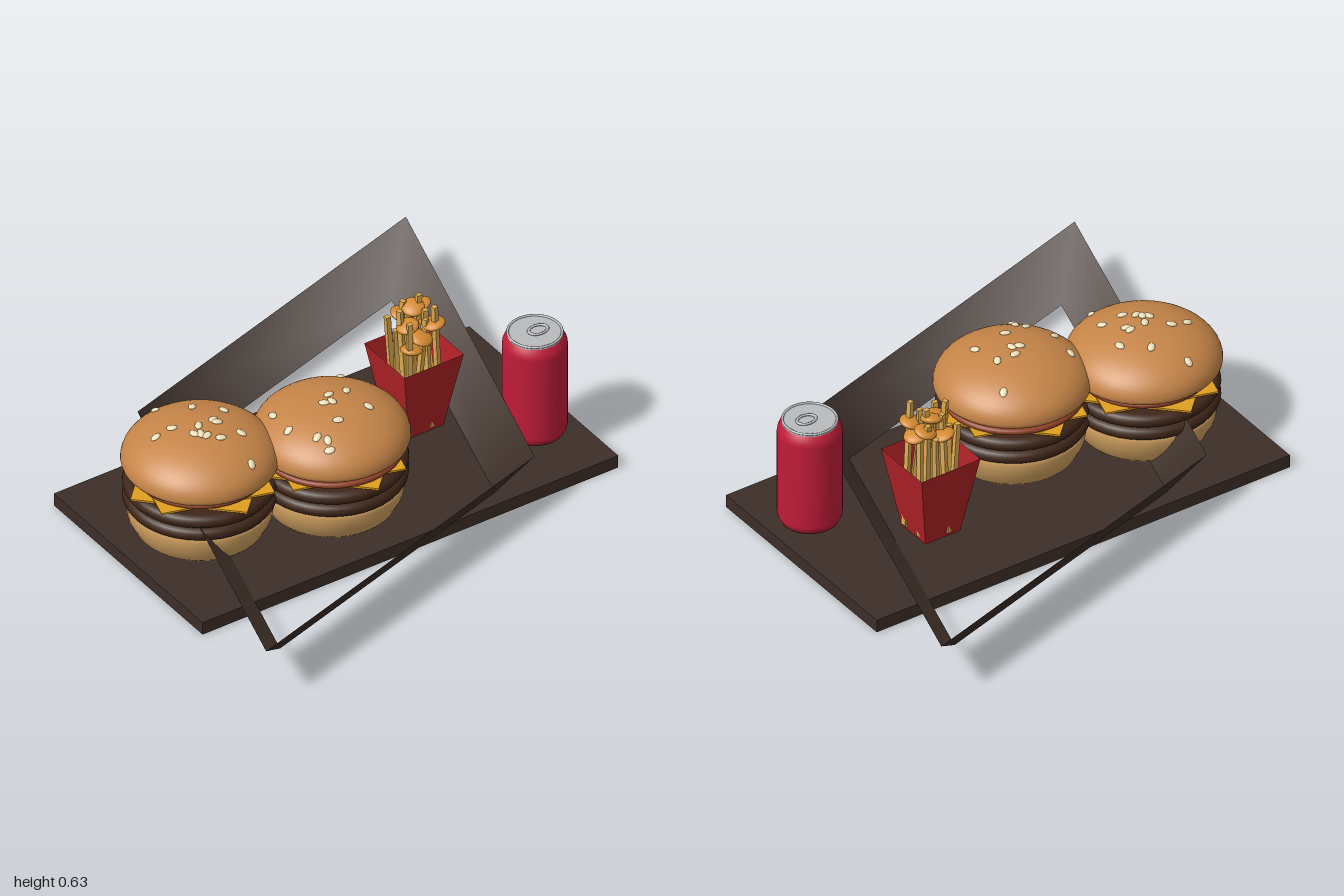
import * as THREE from 'three';

const mat = (color, extra = {}) => {
  const m = new THREE.MeshStandardMaterial({ color });
  return Object.assign(m, extra);
};
const DOUBLE = { side: THREE.DoubleSide };
const M = {
  tray: mat(0x3d2e27, DOUBLE), bun: mat(0xc68548), lowerBun: mat(0xd0a060), seed: mat(0xeedfb8),
  patty: mat(0x3f2618), cheese: mat(0xe0a020), tomato: mat(0x8f4028), pickle: mat(0x71804a),
  box: mat(0xb02226, { ...DOUBLE, flatShading: true }), fry: mat(0xdcaa50), crisp: mat(0xd48a30),
  can: mat(0xc01c38), metal: mat(0xb8babd),
};

function add(parent, name, geometry, material, x = 0, y = 0, z = 0) {
  const mesh = new THREE.Mesh(geometry, material);
  mesh.name = name;
  mesh.position.set(x, y, z);
  parent.add(mesh);
  return mesh;
}

function group(parent, name, x = 0, z = 0) {
  const g = new THREE.Group();
  g.name = name;
  g.position.set(x, 0, z);
  parent.add(g);
  return g;
}

const lathe = (pts, seg = 40) => new THREE.LatheGeometry(pts.map(([r, y]) => new THREE.Vector2(r, y)), seg);

// Disc with rounded rim, used for patties and fillings
function roundedDisc(r, h) {
  const pts = [[0, -h / 2]];
  for (let i = 0; i <= 8; i++) {
    const a = -Math.PI / 2 + (i / 8) * Math.PI;
    pts.push([r - h / 2 + Math.cos(a) * h / 2, Math.sin(a) * h / 2]);
  }
  pts.push([0, h / 2]);
  return lathe(pts);
}

const BUN = { r: 0.302, y: 0.375, h: 0.15 };

function burger(parent, name, x, z, seeds, withPickles) {
  const g = group(parent, name, x, z);
  add(g, 'lowerBun', lathe([[0, 0.055], [0.235, 0.055], [0.25, 0.07], [0.275, 0.12], [0.283, 0.17], [0.275, 0.19], [0, 0.19]]), M.lowerBun);
  add(g, 'lowerPatty', roundedDisc(0.295, 0.055), M.patty, 0, 0.21, 0);
  add(g, 'upperPatty', roundedDisc(0.295, 0.055), M.patty, 0, 0.268, 0);

  // Two turned cheese slices whose corners poke out
  [Math.PI / 4, Math.PI / 4 + 0.5].forEach((turn, i) => {
    const slice = add(g, 'cheeseSlice', new THREE.BoxGeometry(0.45, 0.008, 0.45), M.cheese, 0, 0.301 + i * 0.009, 0);
    slice.rotation.y = turn;
  });
  add(g, 'tomato', roundedDisc(withPickles ? 0.26 : 0.28, 0.024), M.tomato, 0, 0.324, 0);
  if (withPickles) {
    for (let i = 0; i < 5; i++) {
      const a = (i / 5) * Math.PI * 2 + 0.3;
      add(g, 'pickle', new THREE.CylinderGeometry(0.1, 0.1, 0.02, 20), M.pickle, Math.cos(a) * 0.14, 0.344, Math.sin(a) * 0.14);
    }
  } else {
    add(g, 'lettuce', roundedDisc(0.25, 0.02), M.pickle, 0, 0.343, 0);
  }

  // Domed bun with a tucked lower lip
  const dome = [[0, 0.35], [0.275, 0.35], [0.293, 0.356], [0.3, 0.365]];
  for (let i = 0; i <= 14; i++) {
    const a = (i / 14) * Math.PI / 2;
    dome.push([BUN.r * Math.cos(a), BUN.y + BUN.h * Math.sin(a)]);
  }
  add(g, 'upperBun', lathe(dome, 48), M.bun);

  // Sesame seeds lie along the dome surface
  const seedGeo = new THREE.SphereGeometry(1, 10, 8).scale(0.015, 0.008, 0.022);
  seeds.forEach(([sx, sz], i) => {
    const dx = sx - x, dz = sz - z;
    const up = BUN.h * Math.sqrt(1 - (dx * dx + dz * dz) / BUN.r ** 2);
    const seed = add(g, 'sesameSeed', seedGeo, M.seed, dx, BUN.y + up + 0.002, dz);
    const normal = new THREE.Vector3(dx / BUN.r ** 2, up / BUN.h ** 2, dz / BUN.r ** 2).normalize();
    seed.quaternion.setFromUnitVectors(new THREE.Vector3(0, 1, 0), normal);
    seed.rotateY(i * 2.4);
  });
}

function fries(parent) {
  const g = group(parent, 'fries', 0.435, -0.115);
  const shell = new THREE.CylinderGeometry(0.135 * Math.SQRT2, 0.08 * Math.SQRT2, 0.34, 4, 1, true).rotateY(Math.PI / 4);
  add(g, 'friesBox', shell, M.box, 0, 0.225, 0);
  add(g, 'friesBoxBase', new THREE.BoxGeometry(0.16, 0.006, 0.16), M.box, 0, 0.058, 0);

  // Sticks on a loose grid with varied lengths and leans
  for (let i = 0; i < 16; i++) {
    const top = 0.5 + 0.125 * ((i * 7 + 5) % 16) / 15;
    const x = ((i % 4) - 1.5) * 0.042, z = (Math.floor(i / 4) - 1.5) * 0.042;
    const fry = add(g, 'fry', new THREE.BoxGeometry(0.02, top - 0.07, 0.02), M.fry, x, (top + 0.07) / 2, z);
    fry.rotation.set(0.07 * Math.sin(i * 2.1), 0.4 * Math.sin(i), 0.07 * Math.cos(i * 1.7));
  }
  // Flat crisp pieces among the sticks
  const crispGeo = new THREE.SphereGeometry(1, 18, 10).scale(0.045, 0.018, 0.045);
  [[-0.05, 0.54, 0.03], [-0.01, 0.52, -0.07], [0.06, 0.55, -0.05], [0.065, 0.5, 0.01],
    [0.01, 0.575, -0.02], [-0.045, 0.44, 0.05], [0.05, 0.53, 0.06], [-0.01, 0.49, 0.065]].forEach((p, i) => {
    const crisp = add(g, 'crisp', crispGeo, M.crisp, ...p);
    crisp.rotation.set(0.25 * Math.sin(i * 2), 0, 0.25 * Math.cos(i * 3));
  });
}

function drinkCan(parent) {
  const g = group(parent, 'drinkCan', 0.78, 0.19);
  add(g, 'canBody', lathe([[0, 0.056], [0.098, 0.056], [0.112, 0.066], [0.122, 0.085], [0.125, 0.1], [0.125, 0.25],
    [0.125, 0.465], [0.123, 0.48], [0.116, 0.497], [0.107, 0.51]]), M.can);
  add(g, 'canLid', new THREE.CylinderGeometry(0.104, 0.107, 0.012, 40), M.metal, 0, 0.512, 0);
  add(g, 'canRim', new THREE.TorusGeometry(0.104, 0.005, 8, 40).rotateX(Math.PI / 2), M.metal, 0, 0.519, 0);
  add(g, 'pullTab', new THREE.TorusGeometry(0.028, 0.005, 8, 24).scale(1.4, 1, 1).rotateX(Math.PI / 2), M.metal, 0.015, 0.522, 0);
}

export function createModel() {
  const model = new THREE.Group();
  model.name = 'mealTray';

  // Flat tray and its skewed, flared four-sided rim
  add(model, 'trayBase', new THREE.BoxGeometry(1.9, 0.055, 1), M.tray, 0, 0.0275, 0);
  const rim = new THREE.CylinderGeometry(Math.SQRT2, 0.8 * Math.SQRT2, 0.19, 4, 1, true);
  rim.scale(0.54, 1, 1).rotateY(-Math.PI / 4);
  add(model, 'trayRim', rim, M.tray, 0, 0.15, 0);

  burger(model, 'backBurger', -0.605, -0.025, [[-0.65, -0.26], [-0.555, -0.15], [-0.77, -0.08], [-0.7, -0.075],
    [-0.465, -0.07], [-0.615, -0.02], [-0.545, -0.025], [-0.54, -0.005], [-0.655, 0.01], [-0.635, 0.025],
    [-0.62, 0.045], [-0.58, 0.08], [-0.49, 0.085], [-0.535, 0.22]], true);
  burger(model, 'frontBurger', -0.11, 0.13, [[-0.31, 0.03], [0.045, -0.035], [-0.095, 0.09], [-0.14, 0.125],
    [-0.11, 0.135], [-0.02, 0.1], [-0.32, 0.15], [-0.15, 0.235], [0, 0.22], [-0.235, 0.29],
    [-0.26, 0.255], [-0.25, 0.325]], false);
  fries(model);
  drinkCan(model);
  return model;
}
